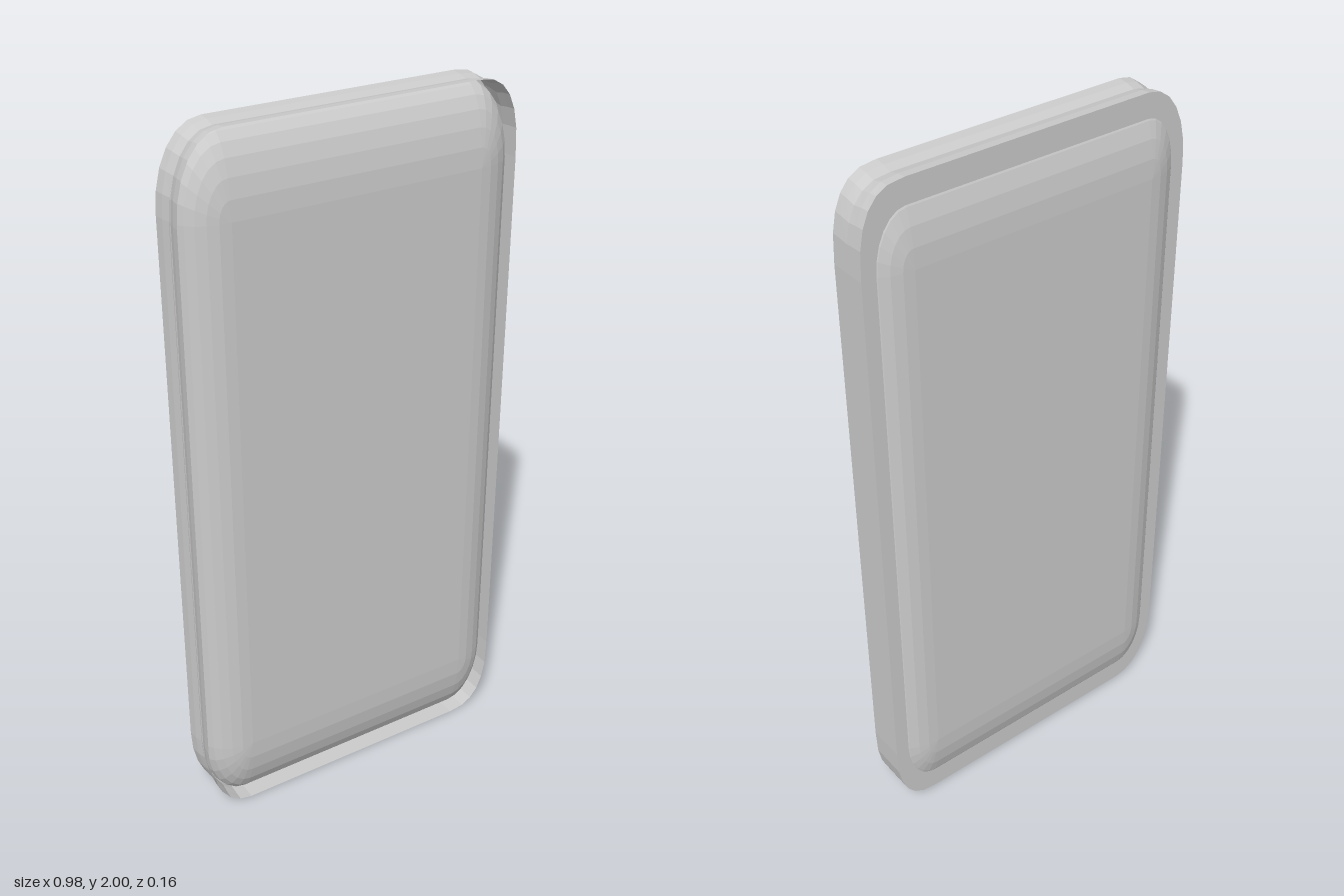
import * as THREE from 'three';

const CORNER_STEPS = 6;

// Rounded-rectangle loop: corner centres (cx, cy) with elliptical corners of radii (rx, ry).
// power(sx) squares off the corners; groove pulls the top and the -x side inwards.
function ring(z, cx, cy, rx, ry, power = () => 2, groove = 0) {
  const points = [];
  for (let q = 0; q < 4; q++) {
    const sx = q === 0 || q === 3 ? 1 : -1;
    const sy = q < 2 ? 1 : -1;
    const e = 2 / power(sx);
    for (let i = 0; i <= CORNER_STEPS; i++) {
      const a = (q + i / CORNER_STEPS) * Math.PI / 2;
      const c = Math.abs(Math.cos(a)) ** e;
      const s = Math.abs(Math.sin(a)) ** e;
      let x = sx * (cx + rx * c);
      let y = sy * (cy + ry * s);
      if (sx < 0) x += groove * c;
      if (sy > 0) y -= groove * s;
      points.push([x, y + 1, z]);
    }
  }
  return points;
}

// Skin a stack of loops ordered from +z to -z.
function loft(rings, capped = false) {
  const n = rings[0].length;
  const position = rings.flat(2);
  const index = [];
  for (let r = 0; r < rings.length - 1; r++) {
    for (let i = 0; i < n; i++) {
      const j = (i + 1) % n;
      const a = r * n + i, b = r * n + j, c = a + n, d = b + n;
      index.push(a, c, b, b, c, d);
    }
  }
  if (capped) {
    const last = (rings.length - 1) * n;
    for (let i = 1; i < n - 1; i++) {
      index.push(0, i, i + 1);
      index.push(last, last + i + 1, last + i);
    }
  }
  const geometry = new THREE.BufferGeometry();
  geometry.setAttribute('position', new THREE.Float32BufferAttribute(position, 3));
  geometry.setIndex(index);
  geometry.computeVertexNormals();
  return geometry;
}

export function createModel() {
  const group = new THREE.Group();
  const solid = new THREE.MeshStandardMaterial({ color: 0xcccccc, flatShading: true });
  const thin = new THREE.MeshStandardMaterial({ color: 0xcccccc, flatShading: true, side: THREE.DoubleSide });
  const add = (name, geometry, material) => {
    const mesh = new THREE.Mesh(geometry, material);
    mesh.name = name;
    group.add(mesh);
  };

  // Pillow-shaped body, flat front and back with ellipsoidal edges
  const body = [];
  for (let k = 0; k <= 12; k++) {
    const a = Math.PI / 2 - (k / 12) * Math.PI;
    const c = Math.max(Math.cos(a), 0.001);
    body.push(ring(0.081 * Math.sin(a), 0.36, 0.78, 0.12 * c, 0.208 * c));
  }
  add('body', loft(body, true), solid);

  // Surrounding band, open at the front, with a shallow groove on the top and one side
  const corner = (sx) => (sx > 0 ? 2.6 : 2.1);
  const profile = [[0.055, 0], [0.028, 0.003], [0, 0.01], [-0.028, 0.003], [-0.055, 0]];
  add('rimBand', loft(profile.map(([z, g]) => ring(z, 0.358, 0.78, 0.13, 0.22, corner, g))), thin);

  // Flat back lip running from the band in to the body
  add('backLip', loft([
    ring(-0.055, 0.358, 0.78, 0.13, 0.22, corner),
    ring(-0.055, 0.358, 0.78, 0.07, 0.12, corner),
  ]), thin);

  return group;
}
